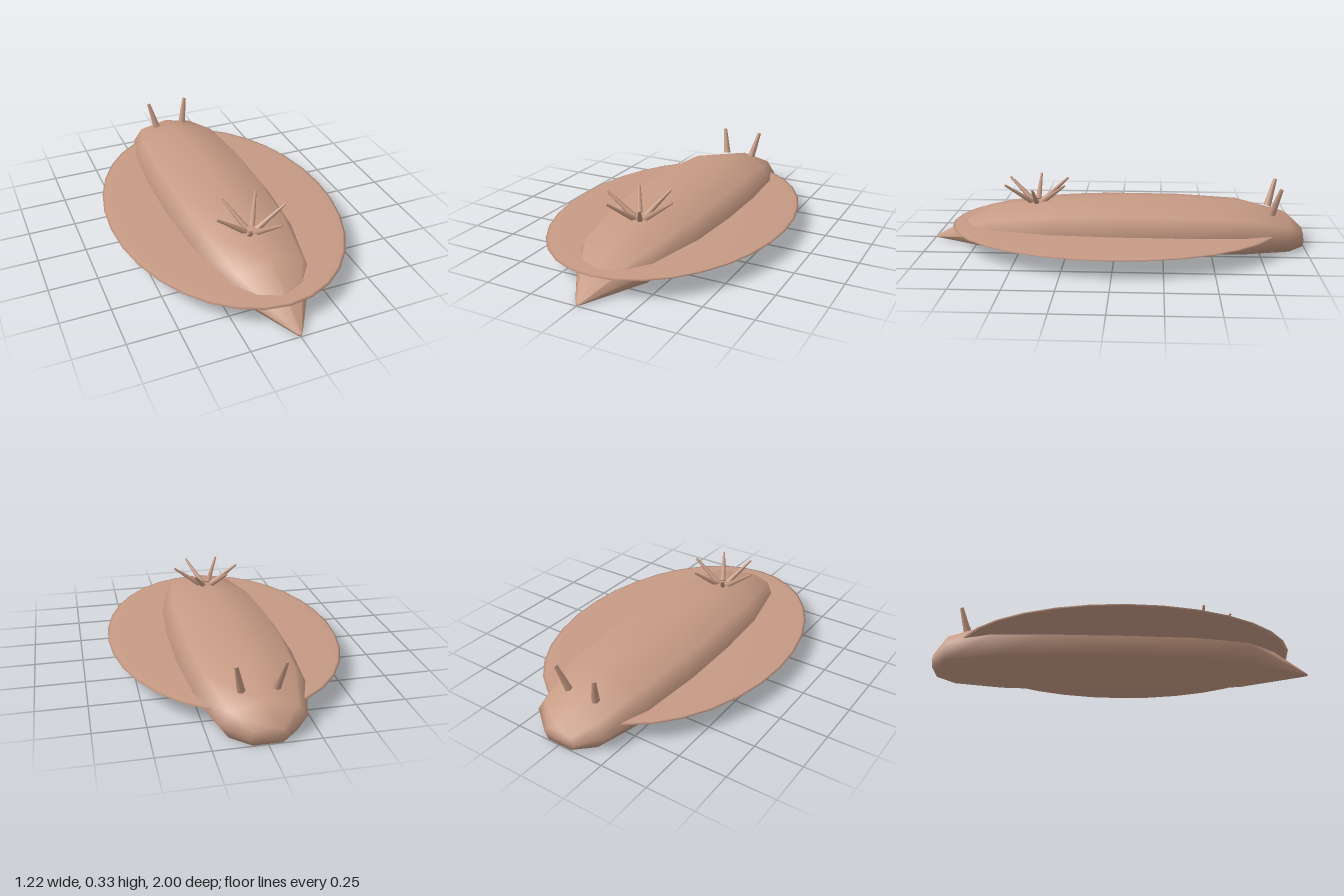
import * as THREE from 'three';

const skin = new THREE.MeshStandardMaterial({ color: 0xc69a84 });
skin.name = 'skin';

// Body: flat-bottomed eight-sided sections from head (-z) to tail tip (+z)
function bodyGeometry() {
  const section = [[0, 0], [0.77, 0], [1, 0.4], [0.77, 0.8], [0, 1], [-0.77, 0.8], [-1, 0.4], [-0.77, 0]];
  // z, half width, height
  const stations = [
    [-0.995, 0.09, 0.085], [-0.91, 0.205, 0.165], [-0.66, 0.28, 0.23], [-0.33, 0.305, 0.248],
    [0, 0.305, 0.25], [0.33, 0.285, 0.235], [0.66, 0.22, 0.19], [0.99, 0.012, 0.012],
  ];
  const n = section.length, pos = [], idx = [];
  for (const [z, w, h] of stations) for (const [x, y] of section) pos.push(x * w, y * h, z);
  for (let i = 0; i < stations.length - 1; i++) {
    for (let j = 0; j < n; j++) {
      const a = i * n + j, b = i * n + (j + 1) % n;
      idx.push(a, b, a + n, b, b + n, a + n);
    }
  }
  // End caps
  const head = pos.length / 3, tail = head + 1, last = (stations.length - 1) * n;
  pos.push(0, 0.035, -1, 0, 0.003, 1);
  for (let j = 0; j < n; j++) {
    const k = (j + 1) % n;
    idx.push(head, k, j, tail, last + j, last + k);
  }
  const g = new THREE.BufferGeometry();
  g.setAttribute('position', new THREE.Float32BufferAttribute(pos, 3));
  g.setIndex(idx);
  g.computeVertexNormals();
  return g;
}

// Tapered rod between two points
function rod(name, from, to, r0, r1) {
  const a = new THREE.Vector3(...from), b = new THREE.Vector3(...to);
  const dir = b.clone().sub(a);
  const mesh = new THREE.Mesh(new THREE.CylinderGeometry(r1, r0, dir.length(), 6), skin);
  mesh.position.copy(a).add(b).multiplyScalar(0.5);
  mesh.quaternion.setFromUnitVectors(new THREE.Vector3(0, 1, 0), dir.normalize());
  mesh.name = name;
  return mesh;
}

export function createModel() {
  const model = new THREE.Group();
  model.name = 'seaSlug';

  const body = new THREE.Mesh(bodyGeometry(), skin);
  body.name = 'body';
  model.add(body);

  // Thin oval skirt around the body
  const mantle = new THREE.Mesh(new THREE.SphereGeometry(1, 32, 16), skin);
  mantle.scale.set(0.61, 0.015, 0.885);
  mantle.position.set(0, 0.097, 0.005);
  mantle.name = 'mantleSkirt';
  model.add(mantle);

  // Head horns
  for (const s of [-1, 1]) {
    model.add(rod('headHorn', [s * 0.082, 0.18, -0.82], [s * 0.115, 0.323, -0.86], 0.021, 0.01));
  }

  // Star of six gills near the tail
  const gills = new THREE.Group();
  gills.name = 'gills';
  for (let i = 0; i < 6; i++) {
    const c = Math.cos(i * Math.PI / 3), s = Math.sin(i * Math.PI / 3);
    gills.add(rod('gill', [0.03 * c, 0.212, 0.43 + 0.03 * s], [0.183 * c, 0.323, 0.43 + 0.183 * s], 0.016, 0.006));
  }
  model.add(gills);
  return model;
}
